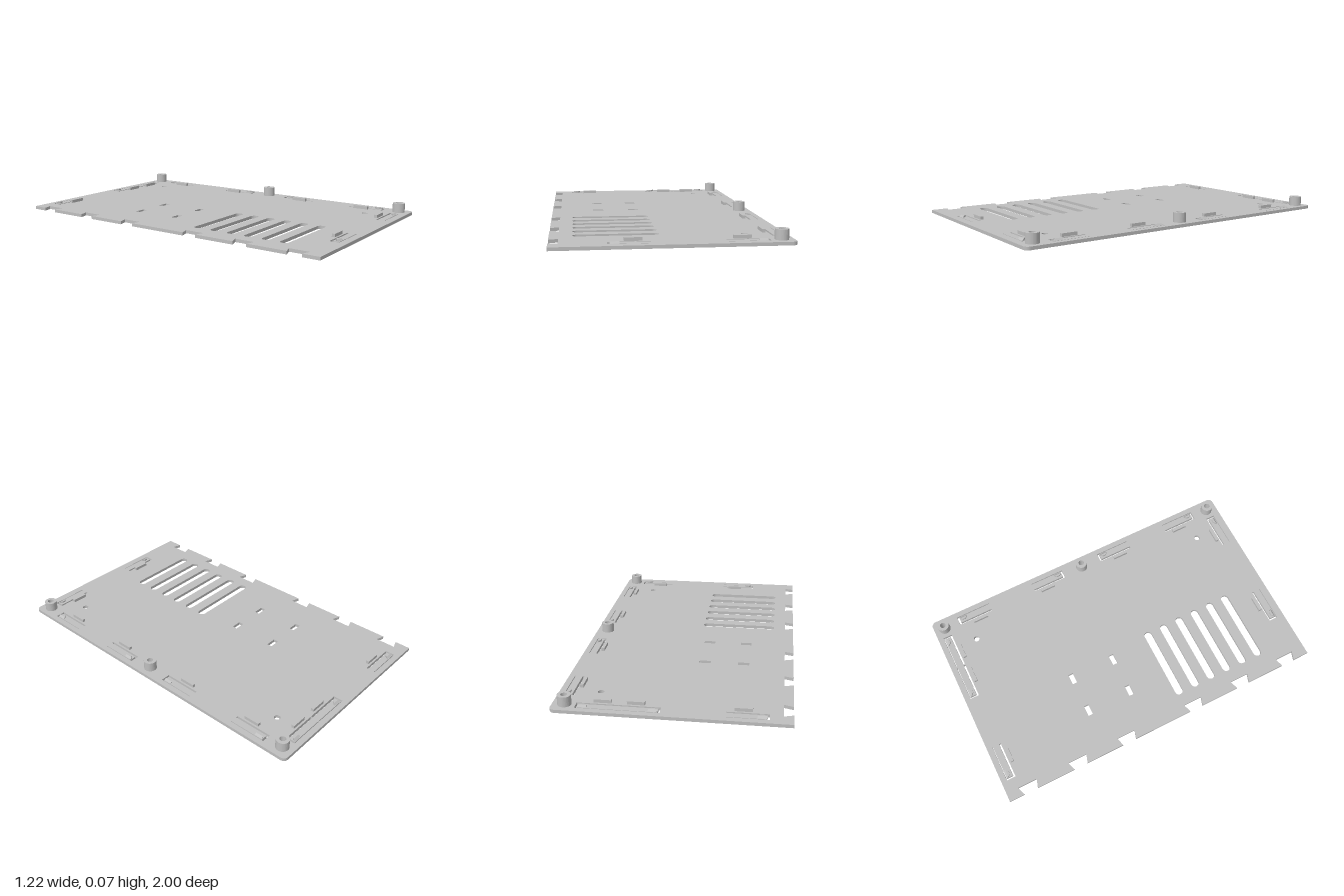
import * as THREE from 'three';

const T = 0.018; // plate thickness

// Extrude a shape drawn in (x, z) so it spans y0..y1
function slab(shape, y0, y1) {
  const g = new THREE.ExtrudeGeometry(shape, { depth: y1 - y0, bevelEnabled: false, curveSegments: 16 });
  return g.rotateX(Math.PI / 2).translate(0, y1, 0);
}

const poly = (pts) => new THREE.Shape(pts.map(([x, z]) => new THREE.Vector2(x, z)));

function circle(x, z, r) {
  return new THREE.Shape().absarc(x, z, r, 0, Math.PI * 2, false);
}

function roundSlot(x0, x1, z, r) {
  const s = new THREE.Shape();
  s.absarc(x1 - r, z, r, -Math.PI / 2, Math.PI / 2, false);
  s.absarc(x0 + r, z, r, Math.PI / 2, Math.PI * 1.5, false);
  s.closePath();
  return s;
}

// Snap clips: free-end corner, direction along the arm, direction outward
const CLIPS = [
  ...[[-0.323, 1], [0.487, -1]].map(([x, d]) => ({ o: [x, 0.902], u: [d, 0], v: [0, 1] })),
  ...[[-0.492, 1], [0.053, 1], [0.487, -1]].map(([x, d]) => ({ o: [x, -0.913], u: [d, 0], v: [0, -1] })),
  ...[[-0.839, 1], [-0.114, -1], [0.14, 1], [0.833, -1]].map(([z, d]) => ({ o: [0.524, z], u: [0, d], v: [1, 0] })),
];
const place = (c, pts) => poly(pts.map(([a, b]) => [
  c.o[0] + a * c.u[0] + b * c.v[0],
  c.o[1] + a * c.u[1] + b * c.v[1],
]));

const POSTS = [-0.935, 0.013, 0.93];
const POST_X = 0.545;

function plateShape() {
  const s = new THREE.Shape();
  const r = 0.028, X = 0.61;
  s.moveTo(-X, -1);
  s.lineTo(X - r, -1);
  s.absarc(X - r, -1 + r, r, -Math.PI / 2, 0, false);
  s.absarc(X - r, 1 - r, r, 0, Math.PI / 2, false);
  s.lineTo(-X, 1);
  // dovetail notches along the left-hand edge
  for (const z of [0.86, 0.542, 0.22, -0.23, -0.548, -0.867]) {
    s.lineTo(-X, z + 0.042);
    s.lineTo(-0.56, z + 0.058);
    s.lineTo(-0.56, z - 0.058);
    s.lineTo(-X, z - 0.042);
  }
  s.closePath();

  // ventilation slots
  for (let i = 0; i < 6; i++) s.holes.push(roundSlot(-0.49, -0.045, 0.177 + i * 0.1095, 0.024));
  // strap openings
  for (const x of [-0.329, -0.11]) {
    for (const z of [-0.363, -0.089]) {
      s.holes.push(poly([[x - 0.032, z - 0.015], [x + 0.032, z - 0.015], [x + 0.032, z + 0.015], [x - 0.032, z + 0.015]]));
    }
  }
  // screw holes
  for (const z of [-0.785, 0.777]) s.holes.push(circle(0.392, z, 0.017));
  for (const z of POSTS) s.holes.push(circle(POST_X, z, 0.017));
  // U-shaped cuts that free the clip arms
  const L = 0.215;
  for (const c of CLIPS) {
    s.holes.push(place(c, [[0, 0], [L, 0], [L, 0.011], [0.011, 0.011], [0.011, 0.05], [L, 0.05], [L, 0.054], [0, 0.054]]));
  }
  return s;
}

// Clip hook: pointed inward, ramped on its outer side
function hookGeometry(c) {
  const m = 0.037, w = 0.023, outer = 0.047, crest = 0.037;
  const g = slab(place(c, [[m - w, outer], [m - w, crest], [m - 0.009, 0.024],
    [m + 0.009, 0.024], [m + w, crest], [m + w, outer]]), T, T + 0.01);
  const p = g.attributes.position;
  for (let i = 0; i < p.count; i++) {
    const b = (p.getX(i) - c.o[0]) * c.v[0] + (p.getZ(i) - c.o[1]) * c.v[1];
    if (p.getY(i) > T + 0.005 && b > outer - 0.002) {
      p.setX(i, p.getX(i) - (outer - crest) * c.v[0]);
      p.setZ(i, p.getZ(i) - (outer - crest) * c.v[1]);
    }
  }
  g.computeVertexNormals();
  return g;
}

export function createModel() {
  const model = new THREE.Group();
  model.name = 'casePanel';
  const grey = new THREE.MeshStandardMaterial({ color: 0xbfbfbf });
  grey.name = 'grey plastic';
  const add = (name, geometry) => {
    const mesh = new THREE.Mesh(geometry, grey);
    mesh.name = name;
    model.add(mesh);
  };

  add('plate', slab(plateShape(), 0, T));

  // hollow screw posts
  for (const z of POSTS) {
    const ring = circle(POST_X, z, 0.036);
    ring.holes.push(circle(POST_X, z, 0.017));
    add('screwPost', slab(ring, T, 0.073));
  }

  // hook on each clip arm and the stop rib behind it
  for (const c of CLIPS) {
    add('clipHook', hookGeometry(c));
    add('stopRib', slab(place(c, [[0.085, -0.029], [0.177, -0.029], [0.177, -0.011], [0.085, -0.011]]), T, 0.036));
  }
  return model;
}
